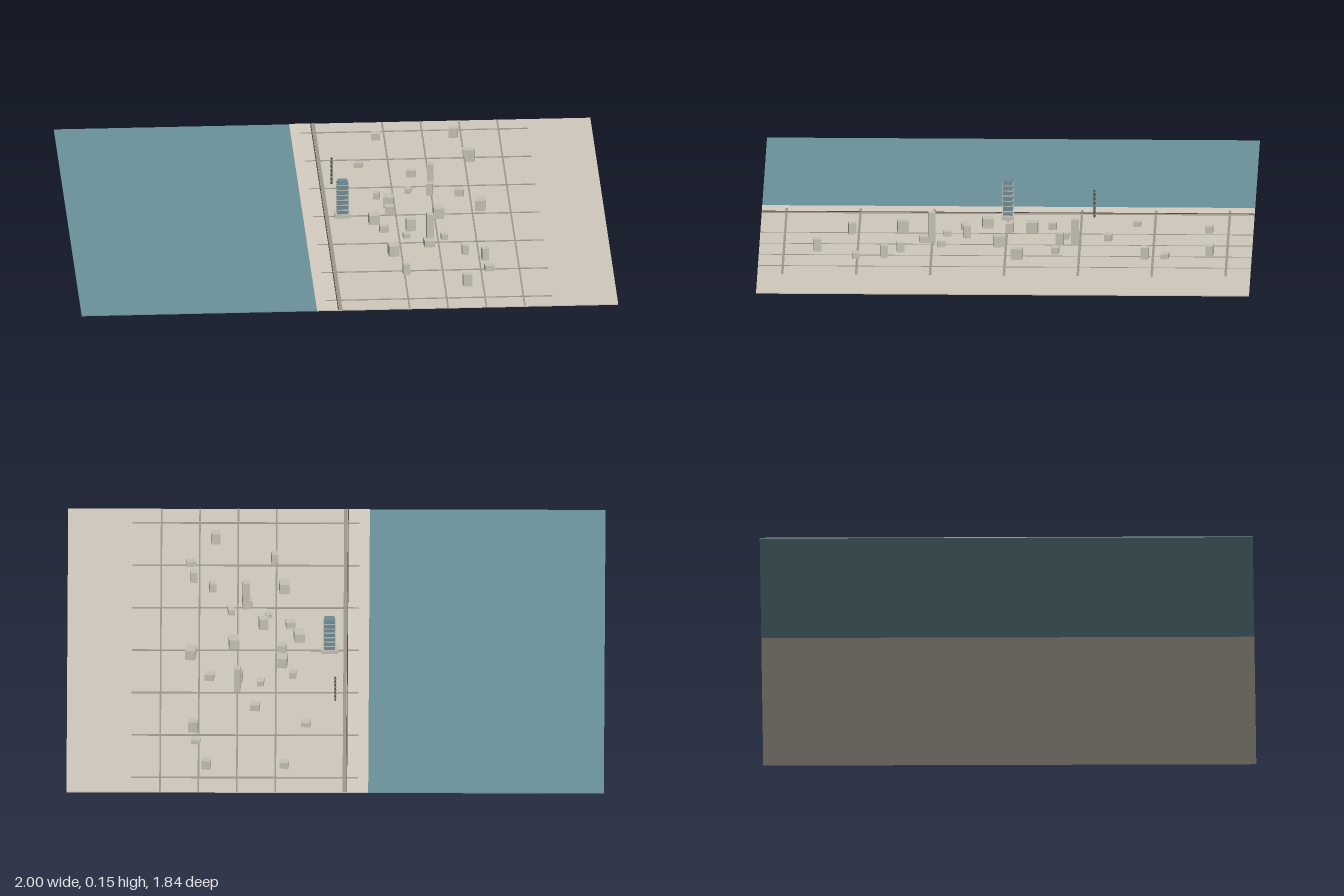
import * as THREE from 'three';

const mat = (color) => new THREE.MeshStandardMaterial({ color });
const sea = mat(0x6a929a), land = mat(0xcfc9bc), sand = mat(0xd6cdc0), road = mat(0x9c988c);
const wall = mat(0xc4c0b4), glass = mat(0x6f8b94), slab = mat(0xb4b6ae), dark = mat(0x4a4644);

// Box standing with its base at height y
function box(parent, name, material, w, h, d, x, y, z, turn = 0) {
  const m = new THREE.Mesh(new THREE.BoxGeometry(w, h, d), material);
  m.name = name;
  m.position.set(x, y + h / 2, z);
  m.rotation.y = turn;
  parent.add(m);
}

export function createModel() {
  const g = new THREE.Group();
  g.name = 'coastalTown';
  const top = 0.004, depth = 1.835;

  // Water, land and beach
  box(g, 'water', sea, 0.877, 0.003, depth, -0.5615, 0, 0);
  box(g, 'land', land, 1.123, top, depth, 0.4385, 0, 0);
  box(g, 'beach', sand, 0.08, 0.001, depth, -0.083, top, 0);

  // Seafront road with sea wall, then the inland avenues
  box(g, 'seafrontRoad', road, 0.013, 0.0015, depth, -0.034, top, 0);
  box(g, 'seaWall', dark, 0.003, 0.003, depth, -0.043, top, 0);
  for (let i = 0; i < 4; i++)
    box(g, 'avenue', road, 0.006, 0.001, depth, 0.223 + i * 0.143, top, 0);

  // Cross streets
  for (let i = -3; i <= 3; i++)
    box(g, 'crossStreet', road, 0.845, 0.0013, 0.009, 0.3375, top, i * 0.275);

  // Town blocks in three plan sizes, each a list of x, z, height
  const blocks = [
    { w: 0.025, d: 0.028, at: [
      [0.36, -0.20, 0.05], [0.28, -0.22, 0.025], [0.16, -0.17, 0.03], [0.25, 0.22, 0.022],
      [0.39, 0.24, 0.026], [0.46, 0.39, 0.04], [0.53, 0.45, 0.05], [0.23, 0.575, 0.045]] },
    { w: 0.034, d: 0.028, at: [
      [0.48, -0.76, 0.042], [0.52, -0.595, 0.022], [0.53, -0.52, 0.05], [0.11, -0.484, 0.022],
      [0.30, -0.38, 0.03], [0.47, -0.185, 0.03], [0.20, -0.01, 0.04], [0.17, 0.157, 0.03],
      [0.27, 0.147, 0.05], [0.54, 0.555, 0.025], [0.45, 0.70, 0.05], [0.19, -0.753, 0.03]] },
    { w: 0.038, d: 0.042, at: [
      [0.20, -0.094, 0.045], [0.54, -0.044, 0.045], [0.38, 0.026, 0.045],
      [0.137, 0.071, 0.04], [0.33, 0.303, 0.028], [0.193, 0.387, 0.045]] },
  ];
  for (const { w, d, at } of blocks)
    for (const [x, z, h] of at)
      box(g, 'townBlock', wall, w, h - top, d, x, top, z, Math.sign(z) * 0.1);

  // Two tall apartment towers
  box(g, 'apartmentTower', wall, 0.026, 0.116, 0.026, 0.335, top, 0.277, 0.05);
  box(g, 'apartmentTower', wall, 0.024, 0.102, 0.026, 0.366, top, -0.256, -0.05);

  // Landmark tower: plinth, glass shaft, floor bands and roof
  const tower = new THREE.Group();
  tower.name = 'landmarkTower';
  tower.position.set(0.024, top, 0);
  box(tower, 'plinth', wall, 0.062, 0.016, 0.046, 0, 0, 0);
  box(tower, 'shaft', glass, 0.042, 0.126, 0.036, 0, 0.012, 0);
  for (let i = 0; i < 6; i++)
    box(tower, 'floorBand', slab, 0.047, 0.004, 0.041, 0, 0.03 + i * 0.02, 0);
  box(tower, 'roof', glass, 0.036, 0.008, 0.032, 0, 0.138, 0);
  g.add(tower);

  // Slender mast with rings
  const mast = new THREE.Group();
  mast.name = 'mast';
  mast.position.set(0.002, top, -0.322);
  const cylinder = (name, r, h, y, m) => {
    const c = new THREE.Mesh(new THREE.CylinderGeometry(r, r, h, 10), m);
    c.name = name;
    c.position.y = y;
    mast.add(c);
  };
  cylinder('pole', 0.0035, 0.105, 0.0525, dark);
  for (let i = 0; i < 6; i++) cylinder('ring', 0.005, 0.006, 0.012 + i * 0.017, road);
  g.add(mast);

  return g;
}
